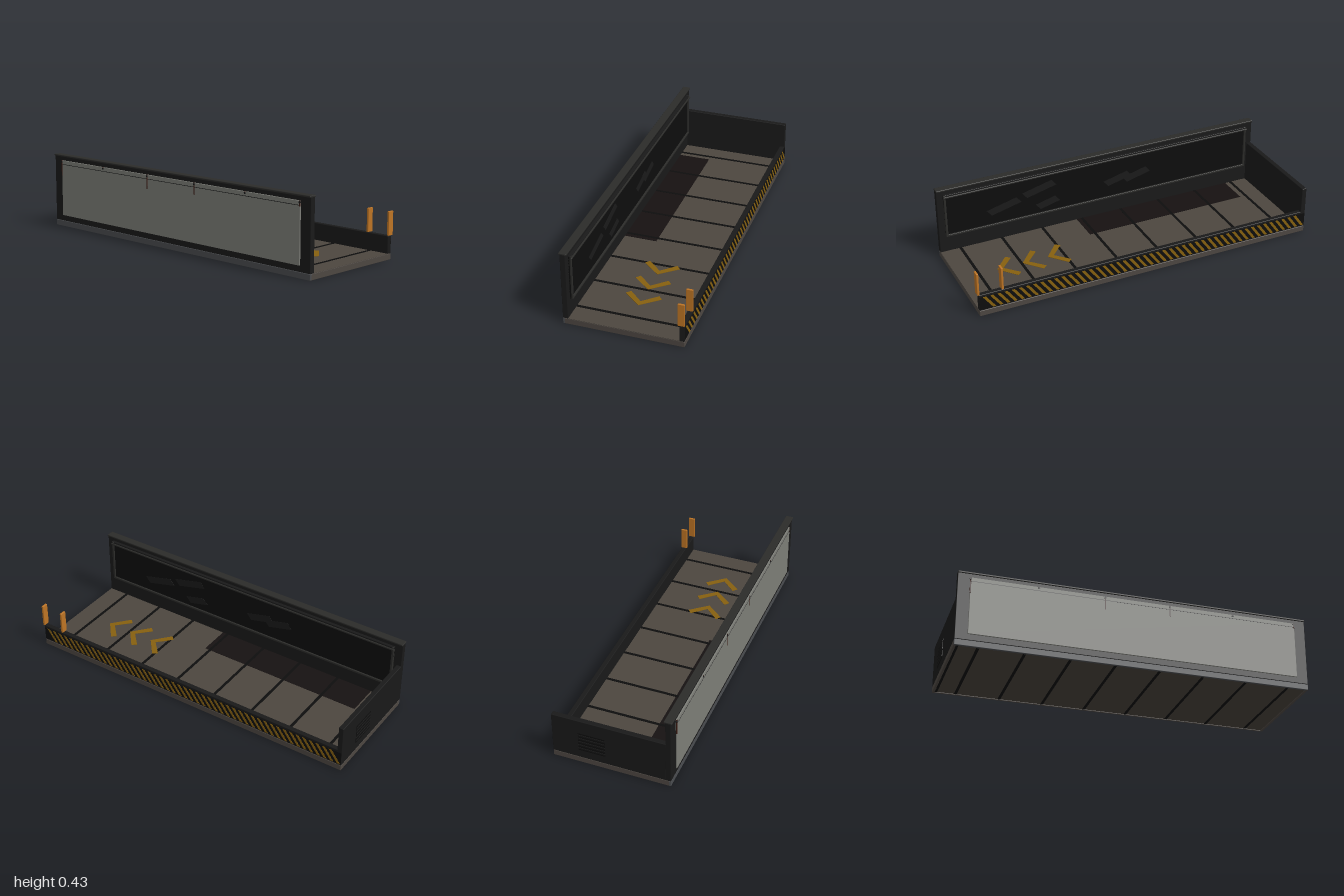
import * as THREE from 'three';
import { RoundedBoxGeometry } from 'three/addons/geometries/RoundedBoxGeometry.js';

const mat = (color) => new THREE.MeshStandardMaterial({ color });
const M = {
  dark: mat(0x191919), black: mat(0x0d0d0d), trim: mat(0x2b2b29), base: mat(0x4c4641),
  steel: mat(0x4a4c4f), deck: mat(0x4c463f), under: mat(0x47403a), stain: mat(0x161111),
  panel: mat(0x7c7d77), orange: mat(0xbd7424), yellow: mat(0x86600f), rust: mat(0x3a1a12), patch: mat(0x1a1a1a),
};

export function createModel() {
  const model = new THREE.Group();
  model.name = 'platformSection';

  // Box given by its extents; bevel > 0 softens the edges
  function box(name, m, [x0, x1], [y0, y1], [z0, z1], bevel = 0) {
    const s = [x1 - x0, y1 - y0, z1 - z0];
    const g = bevel ? new RoundedBoxGeometry(...s, 1, bevel) : new THREE.BoxGeometry(...s);
    const mesh = new THREE.Mesh(g, m);
    mesh.position.set((x0 + x1) / 2, (y0 + y1) / 2, (z0 + z1) / 2);
    mesh.name = name;
    model.add(mesh);
    return mesh;
  }
  // Thin plate cut from an outline in the XY plane
  function plate(name, m, pts, depth) {
    const shape = new THREE.Shape(pts.map(([x, y]) => new THREE.Vector2(x, y)));
    const g = new THREE.ExtrudeGeometry(shape, { depth, bevelEnabled: false });
    const mesh = new THREE.Mesh(g, m);
    mesh.name = name;
    model.add(mesh);
    return mesh;
  }

  const X = [-0.996, 0.992];

  // Floor slab with a shallow rim around the underside
  box('floorSlab', M.under, [-0.99, 0.985], [0.005, 0.034], [-0.325, 0.32]);
  box('frontSill', M.steel, X, [0, 0.034], [0.312, 0.327], 0.003);
  box('backSill', M.base, X, [0, 0.034], [-0.333, -0.322], 0.003);
  box('leftSill', M.base, [0.978, 0.992], [0, 0.034], [-0.333, 0.325], 0.003);
  box('rightSill', M.base, [-0.996, -0.982], [0, 0.034], [-0.333, 0.325], 0.003);
  box('undersideEndSeam', M.black, [-0.982, -0.968], [0.004, 0.008], [-0.322, 0.312]);
  box('deck', M.deck, [-0.968, 0.991], [0.03, 0.0355], [-0.31, 0.3]);
  for (let i = 0; i < 8; i++) {
    const x = -0.866 + i * 0.2485;
    box('deckSeam', M.black, [x - 0.008, x + 0.008], [0.03, 0.037], [-0.308, 0.298]);
    box('undersideSeam', M.black, [x - 0.008, x + 0.008], [0.004, 0.008], [-0.322, 0.312]);
  }
  box('deckStain', M.stain, [-0.83, 0.16], [0.034, 0.0365], [0.11, 0.298]);

  // Painted direction chevrons with square-cut arm ends
  for (const tip of [0.47, 0.62, 0.77]) {
    const arm = [tip - 0.085, 0.106], end = [tip - 0.11, 0.084];
    const c = plate('deckChevron', M.yellow, [
      [tip, 0.005], [arm[0], arm[1]], [end[0], end[1]],
      [tip - 0.036, 0.005], [end[0], 0.01 - end[1]], [arm[0], 0.01 - arm[1]],
    ], 0.002);
    c.rotation.x = -Math.PI / 2;
    c.position.y = 0.0358;
  }

  // Tall front wall with its cap
  box('frontWall', M.dark, X, [0.034, 0.424], [0.297, 0.327], 0.003);
  box('frontWallCap', M.trim, X, [0.42, 0.43], [0.289, 0.334], 0.003);
  box('outerPanel', M.panel, [-0.928, 0.926], [0.068, 0.398], [0.32, 0.334], 0.002);
  box('panelGroove', M.dark, [-0.922, 0.92], [0.373, 0.376], [0.33, 0.3344]);

  // Bolts and rust streaks along the top of the outer panel
  const streaks = [0.09, 0.012, 0.08, 0.065, 0.012, 0.03];
  streaks.forEach((len, i) => {
    const x = -0.927 + i * 0.37;
    const bolt = new THREE.Mesh(new THREE.CylinderGeometry(0.006, 0.006, 0.008, 8), M.dark);
    bolt.rotation.x = Math.PI / 2;
    bolt.position.set(x, 0.39, 0.332);
    bolt.name = 'panelBolt';
    model.add(bolt);
    box('rustStreak', M.rust, [x - 0.003, x + 0.003], [0.398 - len, 0.398], [0.33, 0.335]);
  });

  // Inner screen set back inside a slim frame
  box('innerPanel', M.black, [-0.95, 0.955], [0.137, 0.396], [0.289, 0.299]);
  box('innerTopFrame', M.dark, [-0.95, 0.955], [0.38, 0.398], [0.281, 0.299], 0.002);
  box('innerTopRail', M.trim, [-0.955, 0.957], [0.38, 0.39], [0.274, 0.285], 0.003);
  box('innerBottomFrame', M.trim, [-0.95, 0.955], [0.135, 0.147], [0.28, 0.299], 0.002);
  for (const x of [-0.95, 0.943])
    box('innerSideFrame', M.trim, [x, x + 0.012], [0.135, 0.398], [0.28, 0.299], 0.002);

  // Faint tilted patches on the inner screen
  const patches = [[0.605, 0.24, 0.09], [0.39, 0.3, 0.09], [0.34, 0.2, 0.06], [-0.1, 0.25, 0.075], [-0.22, 0.25, 0.075]];
  for (const [x, y, w] of patches) {
    const t = w * 0.25;
    plate('screenPatch', M.patch, [
      [x - w - 0.015, y - 0.018 + t], [x + w - 0.015, y - 0.018 - t],
      [x + w + 0.015, y + 0.018 - t], [x - w + 0.015, y + 0.018 + t],
    ], 0.001).position.z = 0.2882;
  }

  // End wall with a louvred vent outside
  box('endWall', M.dark, [-0.996, -0.968], [0.034, 0.281], [-0.333, 0.3], 0.003);
  box('ventPlate', M.black, [-0.998, -0.99], [0.085, 0.2], [-0.185, -0.035]);
  for (let i = 0; i < 5; i++) {
    const y = 0.098 + i * 0.022;
    const slat = box('ventSlat', M.dark, [-0.9995, -0.994], [y - 0.005, y + 0.005], [-0.185, -0.035]);
    slat.rotation.z = 0.15;
  }

  // Low back curb with slanted hazard stripes
  box('backCurb', M.dark, [-0.97, 0.992], [0.034, 0.131], [-0.332, -0.305], 0.003);
  box('hazardBacking', M.black, [-0.994, 0.99], [0.04, 0.118], [-0.3333, -0.325]);
  for (let i = 0; i < 48; i++) {
    const x = -0.99 + i * 0.0402;
    plate('hazardStripe', M.yellow, [
      [x, 0.042], [x + 0.018, 0.042], [x + 0.072, 0.116], [x + 0.054, 0.116],
    ], 0.003).position.z = -0.3342;
  }

  // Orange marker posts on the curb at the open end
  for (const x of [0.853, 0.988])
    box('markerPost', M.orange, [x, x + 0.012], [0.134, 0.265], [-0.336, -0.299], 0.002);
  return model;
}
